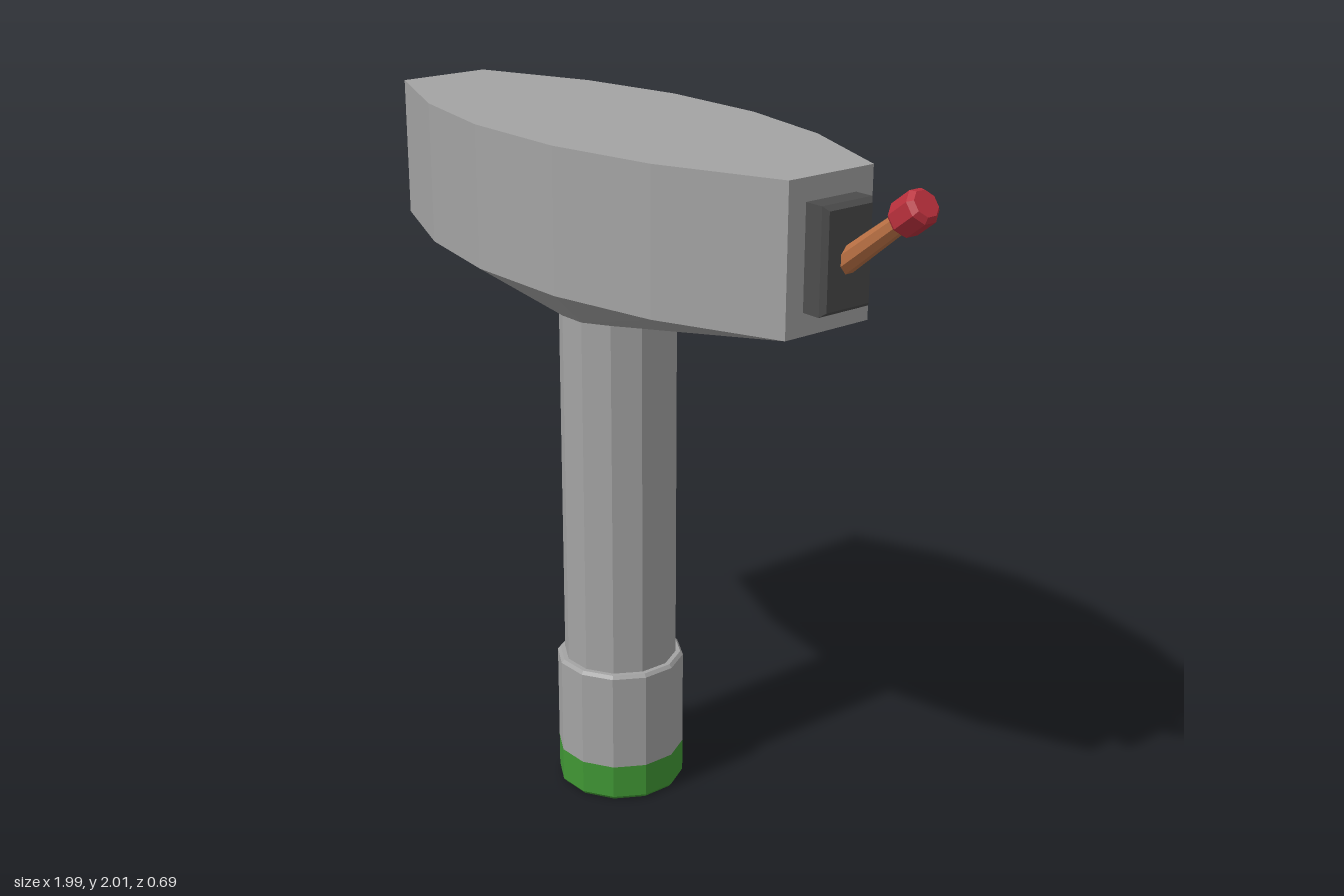
import * as THREE from 'three';

const flat = (name, color, extra = {}) => {
  const m = new THREE.MeshStandardMaterial({ color, flatShading: true, ...extra });
  m.name = name;
  return m;
};

const SIDES = 12;
const TURN = Math.PI / SIDES; // half a facet, so flat faces point along the axes

// Joins rings of [x, y, z] points from bottom to top, with a closed top
function loft(rings, capTop = true) {
  const pos = [];
  const n = rings[0].length;
  for (let r = 0; r < rings.length - 1; r++) {
    for (let i = 0; i < n; i++) {
      const j = (i + 1) % n;
      const [a, a2, b, b2] = [rings[r][i], rings[r][j], rings[r + 1][i], rings[r + 1][j]];
      pos.push(...a, ...b, ...a2, ...a2, ...b, ...b2);
    }
  }
  if (capTop) {
    const top = rings[rings.length - 1];
    for (let i = 1; i < n - 1; i++) pos.push(...top[0], ...top[i + 1], ...top[i]);
  }
  const g = new THREE.BufferGeometry();
  g.setAttribute('position', new THREE.Float32BufferAttribute(pos, 3));
  g.computeVertexNormals();
  return g;
}

const lathe = (points, sides = SIDES, start = TURN) =>
  new THREE.LatheGeometry(points.map(([r, y]) => new THREE.Vector2(r, y)), sides, start);

export function createModel() {
  const model = new THREE.Group();
  const grey = flat('grey metal', 0xa3a3a3);
  const green = flat('green band', 0x409634);
  const dark = flat('dark plate', 0x4c4c4c);
  const copper = flat('copper rod', 0xb87044);
  const red = flat('red knob', 0xb8303c);

  const add = (parent, name, geometry, material) => {
    const mesh = new THREE.Mesh(geometry, material);
    mesh.name = name;
    parent.add(mesh);
    return mesh;
  };

  // Everything but the lever is centred on the neck axis
  const body = new THREE.Group();
  body.name = 'body';
  body.position.x = -0.167;
  model.add(body);

  // Head: a faceted oval block with a funnel leading down to the neck
  const quarter = [[0.833, 0.14], [0.49, 0.28], [0.17, 0.343]];
  const half = [...quarter, ...quarter.map(([x, z]) => [-x, z]).reverse()];
  const outline = [...half, ...half.map(([x, z]) => [-x, -z])];
  const neckR = 0.166;
  const circle = outline.map((_, i) => {
    const a = TURN + i * 2 * TURN;
    return [neckR * Math.cos(a), 1.467, neckR * Math.sin(a)];
  });
  const atHeight = (y) => outline.map(([x, z]) => [x, y, z]);
  add(body, 'head', loft([circle, atHeight(1.605), atHeight(2)]), grey);

  // Neck
  add(body, 'neck', lathe([[neckR, 0.38], [neckR, 1.467]]), grey);

  // Sleeve with a chamfered upper lip, a green foot band and a recessed underside
  add(body, 'sleeve', lathe([[0.188, 0.11], [0.188, 0.4], [0.18, 0.41], [0.16, 0.41]]), grey);
  add(body, 'footBand', lathe([[0.18, 0], [0.188, 0.01], [0.188, 0.11]]), green);
  add(body, 'sleeveSocket', lathe([[0, 0.08], [0.16, 0.08], [0.16, 0], [0.18, 0]]), grey);

  // Switch plate with chamfered outer edges
  const rect = (y, hx, hz) => [[hx, y, hz], [-hx, y, hz], [-hx, y, -hz], [hx, y, -hz]];
  const plate = add(model, 'switchPlate', loft([
    rect(0, 0.137, 0.083), rect(0.056, 0.137, 0.083), rect(0.07, 0.125, 0.071),
  ]), dark);
  plate.position.set(0.665, 1.803, 0);
  plate.rotation.z = -Math.PI / 2;

  // Lever: tilted rod with a chamfered knob at its tip
  const lever = new THREE.Group();
  lever.name = 'lever';
  lever.position.set(0.72, 1.79, 0);
  lever.rotation.z = -THREE.MathUtils.degToRad(53);
  model.add(lever);
  add(lever, 'leverRod', lathe([[0.032, -0.01], [0.025, 0.24]], 8, Math.PI / 8), copper);
  add(lever, 'leverKnob', lathe([
    [0, 0.222], [0.036, 0.222], [0.048, 0.236], [0.048, 0.305], [0.036, 0.319], [0, 0.319],
  ], 8, Math.PI / 8), red);

  return model;
}
